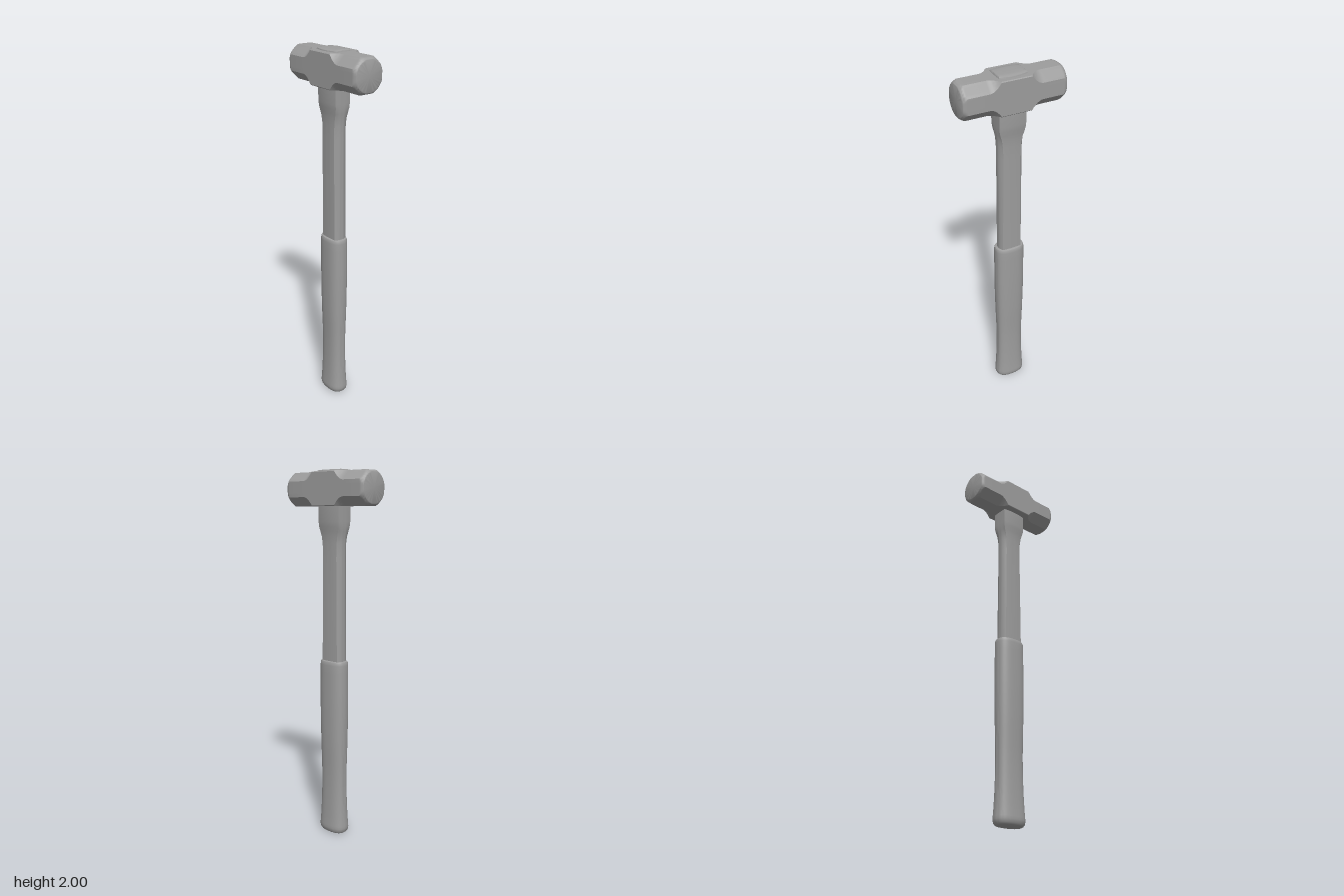
import * as THREE from 'three';
import { toCreasedNormals } from 'three/addons/utils/BufferGeometryUtils.js';

const material = new THREE.MeshStandardMaterial({ color: 0x9d9d9d });

// Skins closed rings of [x, y, z] points (equal counts) and caps both ends.
function loft(name, rings, crease) {
  const n = rings[0].length;
  const points = rings.flat();
  const index = [];
  for (let r = 0; r < rings.length - 1; r++) {
    for (let i = 0; i < n; i++) {
      const j = (i + 1) % n;
      const a = r * n + i, b = r * n + j, c = a + n, d = b + n;
      index.push(a, b, c, b, d, c);
    }
  }
  for (const end of [0, rings.length - 1]) {
    const centre = [0, 1, 2].map(k => rings[end].reduce((s, p) => s + p[k], 0) / n);
    const m = points.push(centre) - 1;
    for (let i = 0; i < n; i++) {
      const a = end * n + i, b = end * n + (i + 1) % n;
      if (end) index.push(m, a, b);
      else index.push(m, b, a);
    }
  }
  const geometry = new THREE.BufferGeometry();
  geometry.setAttribute('position', new THREE.Float32BufferAttribute(points.flat(), 3));
  geometry.setIndex(index);
  const mesh = new THREE.Mesh(toCreasedNormals(geometry, crease), material);
  mesh.name = name;
  return mesh;
}

// Octagonal ring at x: flats of half width f, scaled, corners trimmed to a radius.
function headRing(x, f, scale, limit) {
  const h = 0.088, steps = 8, ring = [];
  const corners = [[h, -f], [h, f], [f, h], [-f, h], [-h, f], [-h, -f], [-f, -h], [f, -h]];
  corners.forEach((p, k) => {
    const q = corners[(k + 1) % 8];
    for (let i = 0; i < steps; i++) {
      const t = i / steps;
      const u = p[0] + (q[0] - p[0]) * t, v = p[1] + (q[1] - p[1]) * t;
      const s = Math.min(scale, limit / Math.hypot(u, v));
      ring.push([x, 1.902 + u * s, v * s]);
    }
  });
  return ring;
}

// Four-sided ring at y: corners at (w, b), sides bulging to a, faces bulging to c.
function shaftRing([y, w, a, b, c]) {
  const steps = 10, ring = [];
  for (let side = 0; side < 4; side++) {
    const sign = side < 2 ? 1 : -1;
    for (let i = 0; i < steps; i++) {
      const t = -1 + 2 * i / steps, bow = 1 - t * t;
      if (side % 2 === 0) ring.push([sign * w * t, y, sign * (b + (c - b) * bow)]);
      else ring.push([sign * (w + (a - w) * bow), y, -sign * b * t]);
    }
  }
  return ring;
}

// Superellipse ring for the rubber sleeve.
function gripRing(y, a, b) {
  const n = 48, power = 2 / 2.5, ring = [];
  const bend = v => Math.sign(v) * Math.abs(v) ** power;
  for (let i = 0; i < n; i++) {
    const t = i / n * Math.PI * 2;
    ring.push([a * bend(Math.sin(t)), y, b * bend(Math.cos(t))]);
  }
  return ring;
}

export function createModel() {
  const group = new THREE.Group();
  group.name = 'sledgehammer';

  // Head: square cheeks scooped out into octagonal ends with softly rounded faces
  const half = [[0.08, 0.084, 1, 1]];
  for (let i = 1; i <= 8; i++) {
    const t = 1 - i / 8;
    half.push([0.14 - 0.06 * t, 0.041 + 0.043 * t * t, 1, 1]);
  }
  half.push([0.246, 0.041, 1, 1], [0.249, 0.041, 1, 0.0965], [0.256, 0.041, 0.985, 0.093],
    [0.262, 0.041, 0.96, 0.089], [0.267, 0.041, 0.93, 0.085], [0.2695, 0.041, 0.905, 0.082],
    [0.2712, 0.041, 0.875, 0.079], [0.272, 0.041, 0.83, 0.075]);
  const headRings = [
    ...half.map(([x, ...shape]) => headRing(-x, ...shape)).reverse(),
    ...half.map(([x, ...shape]) => headRing(x, ...shape)),
  ];
  group.add(loft('head', headRings, 0.62));

  // Barrel-shaped end of the handle showing through the top of the head
  group.add(loft('eyePlug', [
    [1.96, 0.075, 0.077, 0.05, 0.062],
    [1.991, 0.075, 0.077, 0.05, 0.062],
    [1.995, 0.074, 0.076, 0.048, 0.060],
    [1.998, 0.072, 0.074, 0.042, 0.053],
    [1.9995, 0.070, 0.072, 0.028, 0.036],
    [2.0, 0.068, 0.070, 0.012, 0.016],
  ].map(shaftRing), 0.6));

  // Shaft: flat faces with bowed sides, stepping out into a straight neck
  group.add(loft('shaft', [
    [0.9, 0.054, 0.067, 0.037, 0.04],
    [1.0, 0.053, 0.066, 0.037, 0.04],
    [1.3, 0.050, 0.066, 0.037, 0.04],
    [1.55, 0.048, 0.067, 0.037, 0.04],
    [1.62, 0.050, 0.067, 0.037, 0.041],
    [1.66, 0.056, 0.069, 0.038, 0.043],
    [1.685, 0.064, 0.072, 0.040, 0.046],
    [1.71, 0.070, 0.074, 0.043, 0.050],
    [1.735, 0.072, 0.074, 0.045, 0.053],
    [1.83, 0.072, 0.074, 0.046, 0.053],
  ].map(shaftRing), 0.45));

  // Grip: oval sleeve with a slim waist and flared butt
  const profile = new THREE.CatmullRomCurve3([
    [0.082, 0.97, 0.055], [0.083, 0.75, 0.056], [0.080, 0.55, 0.054],
    [0.076, 0.36, 0.049], [0.077, 0.22, 0.050], [0.082, 0.1, 0.054], [0.087, 0.03, 0.058],
  ].map(p => new THREE.Vector3(...p)).reverse());
  const gripRings = [
    gripRing(0, 0.070, 0.042), gripRing(0.004, 0.077, 0.049), gripRing(0.013, 0.084, 0.055),
    ...profile.getPoints(28).map(p => gripRing(p.y, p.x, p.z)),
    gripRing(0.983, 0.081, 0.054), gripRing(0.99, 0.078, 0.051), gripRing(0.992, 0.073, 0.047),
  ];
  group.add(loft('grip', gripRings, 0.7));

  return group;
}
